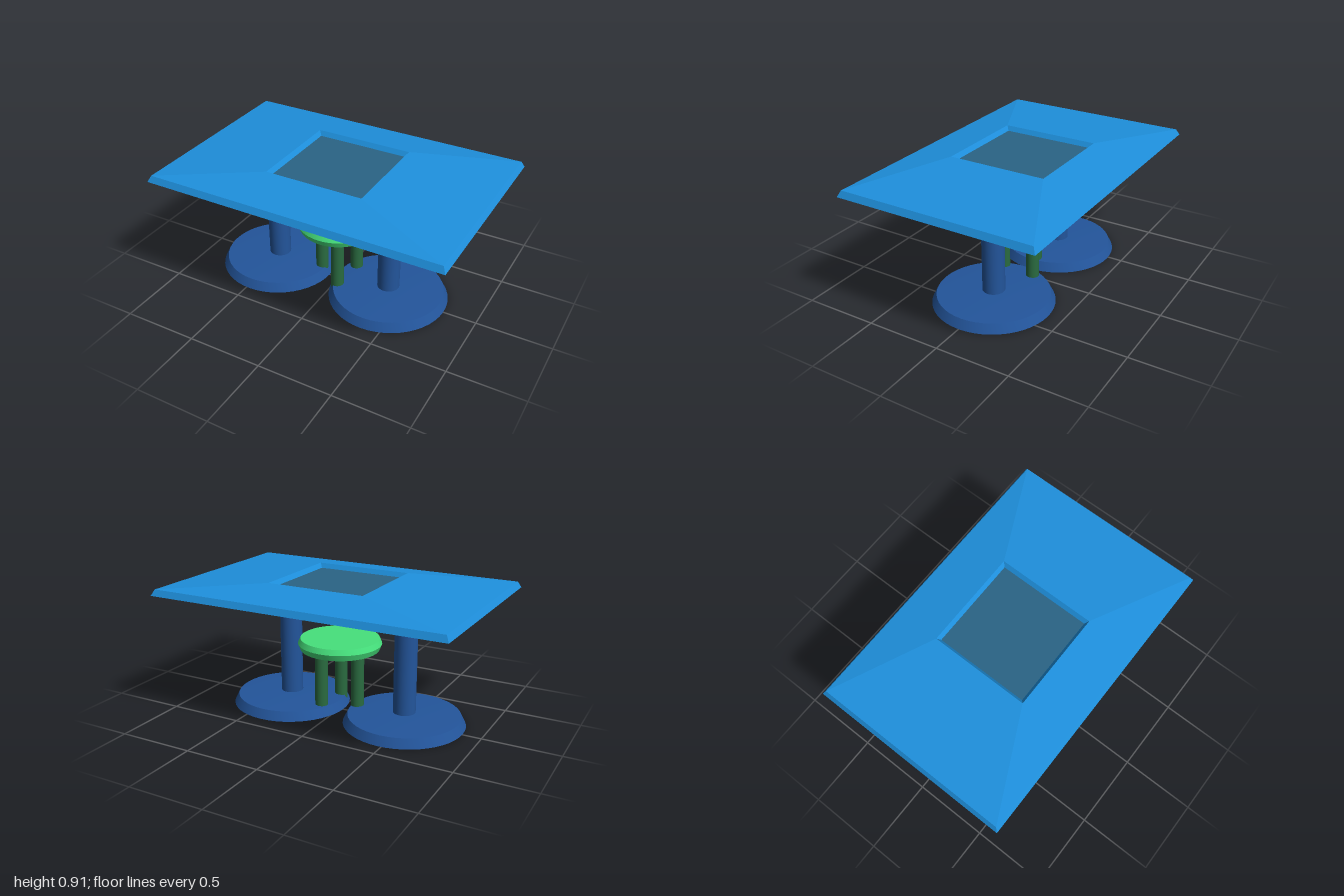
import * as THREE from 'three';
import { toCreasedNormals } from 'three/addons/utils/BufferGeometryUtils.js';

const material = (color, flatShading = false) => new THREE.MeshStandardMaterial({ color, flatShading });

function addMesh(parent, name, geometry, mat, x = 0, y = 0, z = 0) {
  const mesh = new THREE.Mesh(geometry, mat);
  mesh.name = name;
  mesh.position.set(x, y, z);
  parent.add(mesh);
  return mesh;
}

// Turned solid from [radius, height] pairs, listed bottom to top
function turned(profile) {
  const points = profile.map(([r, y]) => new THREE.Vector2(r, y));
  return toCreasedNormals(new THREE.LatheGeometry(points, 48), 0.5);
}

// Faceted shell through rectangular rings of [half width, y, half depth]
function ringShell(rings) {
  const signs = [[1, 1], [1, -1], [-1, -1], [-1, 1]];
  const positions = [];
  for (let i = 0; i < rings.length - 1; i++) {
    for (let k = 0; k < 4; k++) {
      const corner = (ring, s) => [ring[0] * s[0], ring[1], ring[2] * s[1]];
      const s = signs[k], t = signs[(k + 1) % 4];
      const a = corner(rings[i], s), b = corner(rings[i], t);
      const c = corner(rings[i + 1], t), d = corner(rings[i + 1], s);
      positions.push(...a, ...b, ...c, ...a, ...c, ...d);
    }
  }
  const geometry = new THREE.BufferGeometry();
  geometry.setAttribute('position', new THREE.Float32BufferAttribute(positions, 3));
  geometry.computeVertexNormals();
  return geometry;
}

export function createModel() {
  const model = new THREE.Group();
  model.name = 'tableAndStool';
  const topBlue = material(0x1e90dd, true);
  const panelBlue = material(0x2a6485, true);
  const baseBlue = material(0x23559b);
  const seatGreen = material(0x46e07c);
  const legGreen = material(0x2a6b40);

  // Tabletop: flat underside, bevelled rim, gentle slope, recessed centre
  const table = new THREE.Group();
  table.name = 'table';
  model.add(table);
  addMesh(table, 'tabletop', ringShell([
    [0.053, 0.82, 0.053],
    [1, 0.82, 0.667],
    [0.98, 0.86, 0.647],
    [0.33, 0.91, 0.33],
    [0.31, 0.88, 0.31],
  ]), topBlue);

  // Centre panel: tapers down to a small square in the underside
  addMesh(table, 'centrePanel', ringShell([
    [0, 0.82, 0],
    [0.053, 0.82, 0.053],
    [0.31, 0.88, 0.31],
    [0, 0.88, 0],
  ]), panelBlue);

  // Two pedestals with round feet
  const footGeometry = turned([[0, 0], [0.4, 0], [0.37, 0.06], [0, 0.08]]);
  const columnGeometry = new THREE.CylinderGeometry(0.074, 0.074, 0.75, 32);
  for (const x of [-0.475, 0.375]) {
    const pedestal = new THREE.Group();
    pedestal.name = x < 0 ? 'rightPedestal' : 'leftPedestal';
    pedestal.position.x = x;
    table.add(pedestal);
    addMesh(pedestal, 'foot', footGeometry, baseBlue);
    addMesh(pedestal, 'column', columnGeometry, baseBlue, 0, 0.445, 0);
  }

  // Round stool on three legs
  const stool = new THREE.Group();
  stool.name = 'stool';
  stool.position.x = -0.002;
  model.add(stool);
  addMesh(stool, 'seat', turned([[0, 0.435], [0.262, 0.435], [0.278, 0.475], [0.262, 0.51], [0, 0.51]]), seatGreen);
  const legGeometry = new THREE.CylinderGeometry(0.043, 0.043, 0.44, 24);
  for (let i = 0; i < 3; i++) {
    const angle = THREE.MathUtils.degToRad(65 + i * 120);
    addMesh(stool, 'stoolLeg', legGeometry, legGreen, 0.138 * Math.cos(angle), 0.22, 0.138 * Math.sin(angle));
  }

  return model;
}
